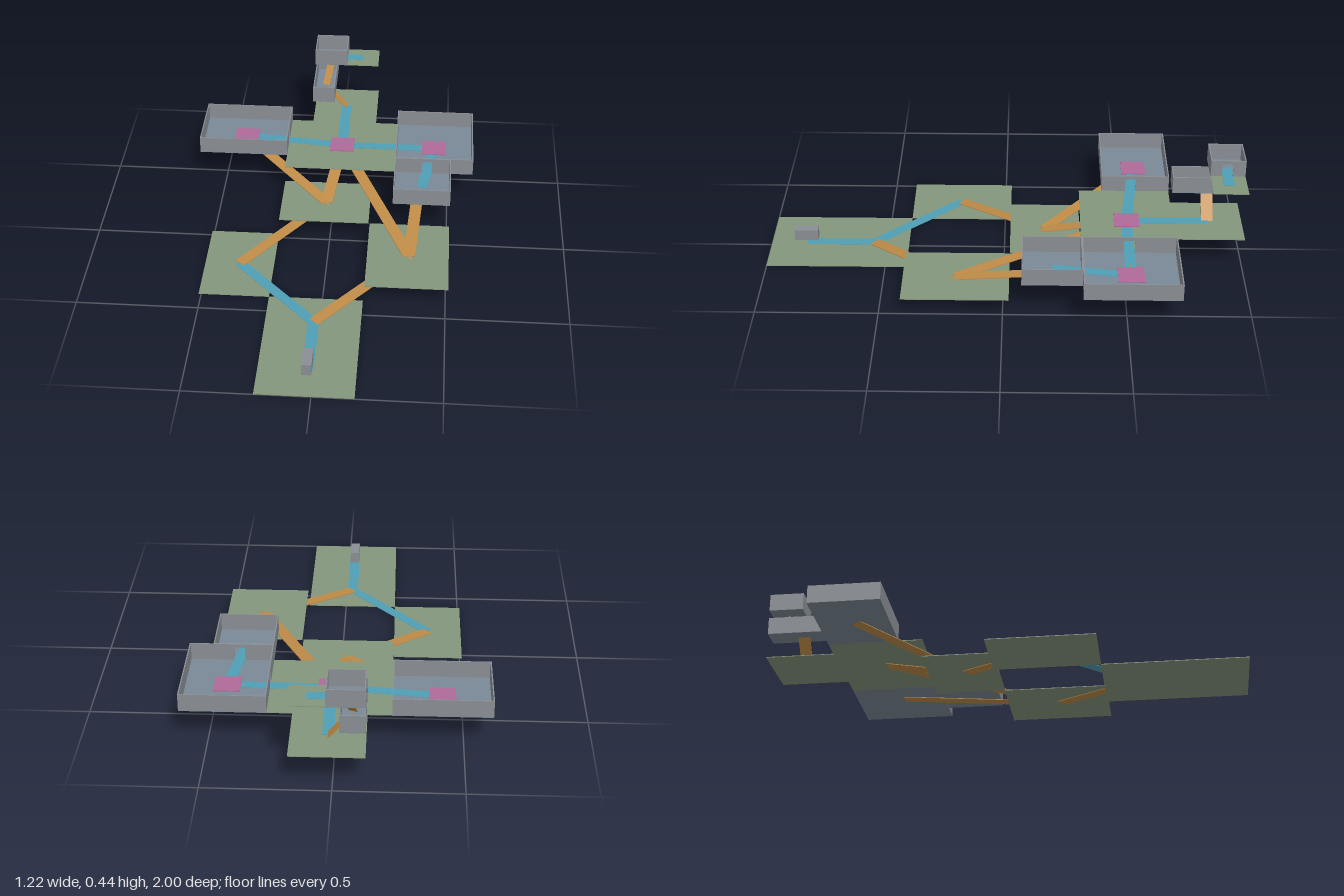
import * as THREE from 'three';

const mat = (color) => new THREE.MeshStandardMaterial({ color });

export function createModel() {
  const model = new THREE.Group();
  const green = mat(0x84967d), grey = mat(0x8a8f95), floorGrey = mat(0x7a8a96);
  const orange = mat(0xc08c48), blue = mat(0x4f9fb4), pink = mat(0xb06a98);
  const T = 0.003; // sheet thickness
  const W = 0.005; // wall thickness

  // Box given by its minimum and maximum on each axis
  function box(parent, name, material, x0, x1, y0, y1, z0, z1) {
    const mesh = new THREE.Mesh(new THREE.BoxGeometry(x1 - x0, y1 - y0, z1 - z0), material);
    mesh.position.set((x0 + x1) / 2, (y0 + y1) / 2, (z0 + z1) / 2);
    mesh.name = name;
    parent.add(mesh);
  }

  // Thin strip between two points, level across its width
  function strip(name, material, a, b, width) {
    const p = new THREE.Vector3(...a), q = new THREE.Vector3(...b);
    const mesh = new THREE.Mesh(new THREE.BoxGeometry(width, T, p.distanceTo(q)), material);
    mesh.position.copy(p).add(q).multiplyScalar(0.5);
    mesh.lookAt(q);
    mesh.name = name;
    model.add(mesh);
  }

  // Wall along x or z, with an optional doorway centred at "door"
  function wall(parent, axis, at, from, to, y, door) {
    const h = 0.075, doorHeight = 0.06, half = 0.0225;
    const piece = (s, e, y0, y1) => axis === 'x'
      ? box(parent, 'wall', grey, s, e, y0, y1, at - W / 2, at + W / 2)
      : box(parent, 'wall', grey, at - W / 2, at + W / 2, y0, y1, s, e);
    if (door === undefined) return piece(from, to, y, y + h);
    piece(from, door - half, y, y + h);
    piece(door + half, to, y, y + h);
    piece(door - half, door + half, y + doorHeight, y + h);
  }

  // Roofless room: floor and four walls
  function room(name, x0, x1, z0, z1, y, doors = {}) {
    const g = new THREE.Group();
    g.name = name;
    box(g, 'floor', floorGrey, x0, x1, y, y + T, z0, z1);
    const i = W / 2;
    wall(g, 'x', z0 + i, x0, x1, y, doors.back);
    wall(g, 'x', z1 - i, x0, x1, y, doors.front);
    wall(g, 'z', x0 + i, z0 + W, z1 - W, y, doors.right);
    wall(g, 'z', x1 - i, z0 + W, z1 - W, y, doors.left);
    model.add(g);
  }

  // Open terraces: x0, x1, z0, z1, height
  const terraces = {
    entranceTerrace: [-0.22, 0.165, 0.41, 1, 0],
    lowerTerrace: [-0.51, -0.22, -0.025, 0.41, 0],
    middleSideTerrace: [0.17, 0.51, -0.025, 0.41, 0.075],
    middleTerrace: [-0.22, 0.165, -0.32, -0.025, 0.075],
    upperTerrace: [-0.22, 0.265, -0.71, -0.32, 0.15],
    backTerrace: [-0.125, 0.165, -1, -0.71, 0.15],
    topTerrace: [0.02, 0.165, -1, -0.855, 0.37],
  };
  for (const [name, [x0, x1, z0, z1, y]] of Object.entries(terraces)) {
    box(model, name, green, x0, x1, y, y + T, z0, z1);
  }

  // Rooms
  room('rightHall', -0.61, -0.22, -0.71, -0.418, 0.15, { left: -0.543 });
  room('leftHall', 0.265, 0.607, -0.71, -0.32, 0.15, { right: -0.515, front: 0.405 });
  room('leftAnnex', 0.265, 0.51, -0.32, -0.075, 0.15, { back: 0.405 });
  room('lowerTowerRoom', -0.125, -0.027, -1, -0.707, 0.26);
  room('upperTowerRoom', -0.125, 0.022, -1, -0.855, 0.37, { left: -0.925 });

  // Small block above the entrance terrace
  box(model, 'entranceBlock', grey, -0.046, -0.006, 0.02, 0.07, 0.8, 0.9);

  // Stair ramps between the levels
  const ramps = [
    [[-0.025, 0, 0.56], [0.345, 0.075, 0.195]],
    [[-0.365, 0, 0.195], [-0.025, 0.075, -0.17]],
    [[-0.025, 0.075, -0.17], [-0.415, 0.15, -0.565]],
    [[-0.025, 0.075, -0.17], [0.022, 0.15, -0.515]],
    [[0.345, 0.075, 0.195], [0.022, 0.15, -0.515]],
    [[0.345, 0.075, 0.195], [0.39, 0.15, -0.515]],
    [[0.02, 0.15, -0.855], [-0.075, 0.26, -0.855]],
    [[-0.075, 0.26, -0.855], [-0.05, 0.37, -0.927]],
  ];
  for (const [a, b] of ramps) {
    const lift = ([x, y, z]) => [x, y + T, z];
    strip('ramp', orange, lift(a), lift(b), a[1] > 0.2 ? 0.035 : 0.05);
  }

  // Level walkways: x, z to x, z at a height
  const walkways = [
    [-0.365, 0.195, -0.025, 0.56, 0],
    [-0.025, 0.56, -0.025, 0.85, 0],
    [0.022, -0.515, 0.02, -0.855, 0.15],
    [0.022, -0.515, 0.435, -0.515, 0.15],
    [0.022, -0.515, -0.415, -0.565, 0.15],
    [0.435, -0.515, 0.387, -0.2, 0.15],
    [-0.05, -0.927, 0.095, -0.927, 0.37],
  ];
  for (const [x0, z0, x1, z1, y] of walkways) {
    strip('walkway', blue, [x0, y + 0.0025, z0], [x1, y + 0.0025, z1], 0.045);
  }

  // Square floor markers
  for (const [x, z] of [[-0.415, -0.565], [0.022, -0.515], [0.435, -0.515]]) {
    box(model, 'floorMarker', pink, x - 0.053, x + 0.053, 0.152, 0.157, z - 0.053, z + 0.053);
  }

  return model;
}
